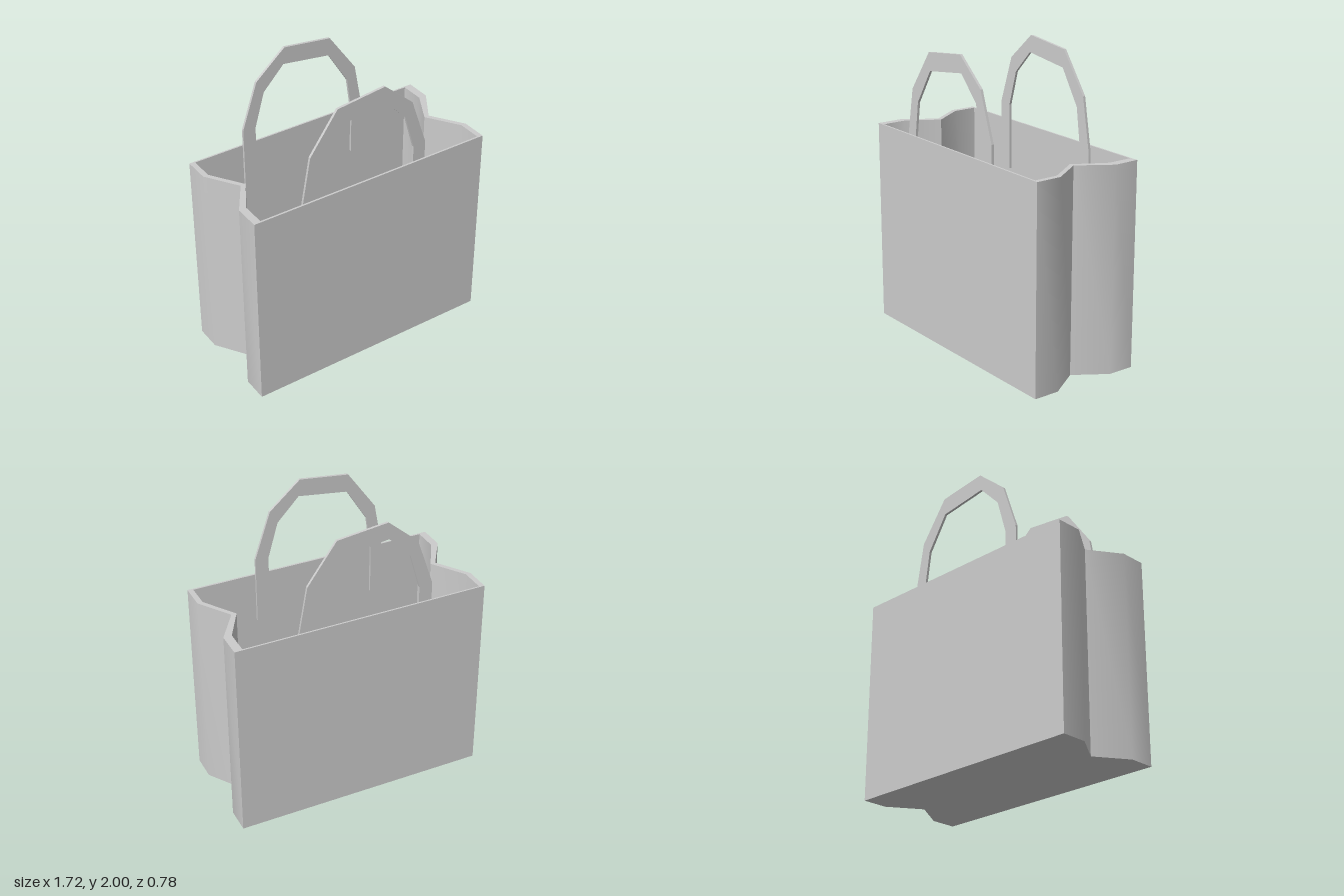
import * as THREE from 'three';
import { toCreasedNormals } from 'three/addons/utils/BufferGeometryUtils.js';

const material = new THREE.MeshStandardMaterial({ color: 0xcccccc });

const toPoints = (list) => list.map(([x, y]) => new THREE.Vector2(x, y));

// Extrudes a plan outline, given as [x, z], upwards from y = 0
function extrudeUp(outline, height, hole) {
  const plan = (list) => toPoints(list.map(([x, z]) => [x, -z]));
  const shape = new THREE.Shape(plan(outline));
  if (hole) shape.holes.push(new THREE.Path(plan(hole)));
  const geometry = new THREE.ExtrudeGeometry(shape, { depth: height, bevelEnabled: false });
  geometry.rotateX(-Math.PI / 2);
  // Soft outer gusset bend, sharp centre fold and corners
  return toCreasedNormals(geometry, THREE.MathUtils.degToRad(45));
}

function addMesh(parent, name, geometry) {
  const mesh = new THREE.Mesh(geometry, material);
  mesh.name = name;
  parent.add(mesh);
  return mesh;
}

export function createModel() {
  const group = new THREE.Group();
  group.name = 'shoppingBag';

  // Bag plan with folded-in side gussets
  const outer = [
    [-0.86, 0.39], [0.86, 0.39], [0.86, 0.215], [0.72, 0],
    [0.86, -0.215], [0.86, -0.39], [-0.86, -0.39], [-0.86, -0.215],
    [-0.72, 0], [-0.86, 0.215],
  ];
  const inner = [
    [-0.81, 0.377], [0.825, 0.377], [0.825, 0.215], [0.685, 0],
    [0.805, -0.215], [0.805, -0.379], [-0.825, -0.379], [-0.825, -0.215],
    [-0.685, 0], [-0.81, 0.215],
  ];
  addMesh(group, 'bagWalls', extrudeUp(outer, 1.38, inner));
  addMesh(group, 'bagFloor', extrudeUp(inner, 0.02));

  // Flat faceted strap: outer edge one way, inner edge back
  const strap = new THREE.Shape(toPoints([
    [0.4, 1.04], [0.4, 1.5], [0.29, 1.82], [0.08, 2], [-0.26, 1.96],
    [-0.455, 1.69], [-0.52, 1.33], [-0.52, 1.04],
    [-0.43, 1.04], [-0.43, 1.36], [-0.395, 1.61], [-0.25, 1.84],
    [0.09, 1.885], [0.24, 1.73], [0.31, 1.49], [0.31, 1.04],
  ]));
  const strapGeometry = toCreasedNormals(
    new THREE.ExtrudeGeometry(strap, { depth: 0.017, bevelEnabled: false }), 0.2);
  strapGeometry.translate(0, 0, 0.36);
  addMesh(group, 'frontHandle', strapGeometry);
  const backHandle = addMesh(group, 'backHandle', strapGeometry);
  backHandle.rotation.y = Math.PI;
  backHandle.position.x = -0.08;

  return group;
}
